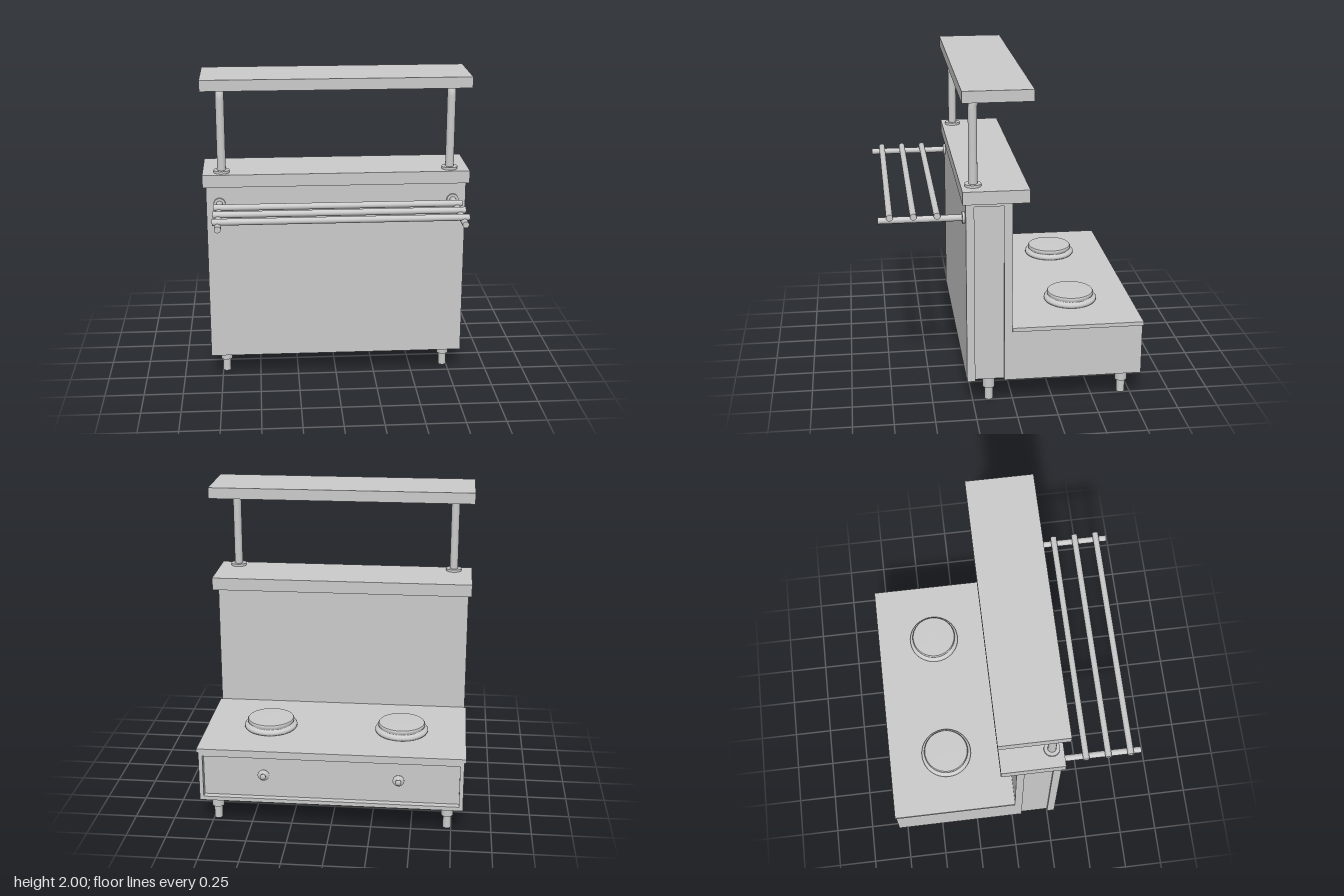
import * as THREE from 'three';

export function createModel() {
  const model = new THREE.Group();
  const mat = new THREE.MeshStandardMaterial({ color: 0xcccccc });

  function add(name, geometry, x = 0, y = 0, z = 0) {
    const mesh = new THREE.Mesh(geometry, mat);
    mesh.name = name;
    mesh.position.set(x, y, z);
    model.add(mesh);
    return mesh;
  }
  // Box given by its limits, centred on x
  function slab(name, halfWidth, y0, y1, z0, z1) {
    return add(name, new THREE.BoxGeometry(2 * halfWidth, y1 - y0, z1 - z0), 0, (y0 + y1) / 2, (z0 + z1) / 2);
  }
  function rod(name, r, length, x, y, z, axis = 'y') {
    const g = new THREE.CylinderGeometry(r, r, length, 32);
    if (axis === 'x') g.rotateZ(Math.PI / 2);
    if (axis === 'z') g.rotateX(Math.PI / 2);
    return add(name, g, x, y, z);
  }
  // Rectangular frame extruded along z
  function frame(w, h, side, end, depth) {
    const rect = (C, a, b) => new C([[-a, -b], [a, -b], [a, b], [-a, b]].map(p => new THREE.Vector2(...p)));
    const shape = rect(THREE.Shape, w / 2, h / 2);
    shape.holes.push(rect(THREE.Path, w / 2 - side, h / 2 - end));
    return new THREE.ExtrudeGeometry(shape, { depth, bevelEnabled: false });
  }

  // Upright cabinet with recessed side panels
  slab('frontPanel', 0.82, 0.165, 1.32, 0.24, 0.29);
  slab('cabinetCore', 0.805, 0.172, 1.3, 0.06, 0.24);
  slab('cabinetTop', 0.82, 1.3, 1.32, 0.06, 0.24);
  slab('backPanel', 0.82, 0.49, 1.32, 0.01, 0.06);
  slab('counterShelf', 0.84, 1.32, 1.4, -0.09, 0.31);

  // Low base with a framed control recess at the back
  slab('base', 0.82, 0.165, 0.49, -0.76, 0.06);
  add('controlFrame', frame(1.64, 0.325, 0.025, 0.025, 0.04), 0, 0.3275, -0.8);
  slab('worktop', 0.83, 0.49, 0.515, -0.805, 0.01);

  // Canopy, hollow underneath
  slab('canopyTop', 0.84, 1.987, 2, -0.11, 0.31);
  const rim = frame(1.68, 0.42, 0.018, 0.018, 0.057).rotateX(-Math.PI / 2);
  add('canopyRim', rim, 0, 1.93, 0.1);

  // Cooking plates
  const plateProfile = [[0, 0], [0.162, 0], [0.168, 0.01], [0.168, 0.02], [0.162, 0.029], [0.148, 0.034],
    [0.143, 0.038], [0.148, 0.043], [0.149, 0.056], [0.144, 0.063], [0.144, 0.063], [0, 0.065]]
    .map(p => new THREE.Vector2(...p));
  const plate = new THREE.LatheGeometry(plateProfile, 48);
  // Control knobs, turned around z
  const knobProfile = [[0, 0], [0.036, 0], [0.036, 0.008], [0.014, 0.009], [0.014, 0.022], [0.018, 0.026], [0.018, 0.036], [0, 0.037]]
    .map(p => new THREE.Vector2(...p));
  const knob = new THREE.LatheGeometry(knobProfile, 24).rotateX(-Math.PI / 2);

  // Canopy post: vertical, a bend, then a short horizontal arm
  const post = new THREE.CurvePath();
  const v = (y, z) => new THREE.Vector3(0, y, z);
  const b = 0.09, k = b * 0.448;
  post.add(new THREE.LineCurve3(v(1.4, 0.237), v(1.96 - b, 0.237)));
  post.add(new THREE.CubicBezierCurve3(v(1.96 - b, 0.237), v(1.96 - k, 0.237), v(1.96, 0.237 - k), v(1.96, 0.237 - b)));
  post.add(new THREE.LineCurve3(v(1.96, 0.237 - b), v(1.96, -0.03)));
  const postGeometry = new THREE.TubeGeometry(post, 80, 0.027, 24);

  // Paired parts on both sides
  for (const s of [-1, 1]) {
    add('cookingPlate', plate, s * 0.42, 0.515, -0.415);
    add('controlKnob', knob, s * 0.42, 0.335, -0.76);
    add('canopyPost', postGeometry, s * 0.72, 0, 0);
    rod('postEndCap', 0.027, 0.004, s * 0.72, 1.96, -0.03, 'z');
    rod('postFlange', 0.05, 0.016, s * 0.72, 1.408, 0.237);
    rod('railBracket', 0.02, 0.515, s * 0.737, 1.21, 0.5475, 'z');
    rod('bracketFlange', 0.037, 0.015, s * 0.737, 1.21, 0.2975, 'z');
    for (const z of [0.147, -0.695]) {
      rod('legSleeve', 0.038, 0.085, s * 0.725, 0.1275, z);
      rod('legFoot', 0.026, 0.09, s * 0.725, 0.045, z);
    }
  }

  // Tray rails
  for (const z of [0.455, 0.595, 0.735]) rod('trayRail', 0.02, 1.54, 0, 1.235, z, 'x');

  return model;
}
